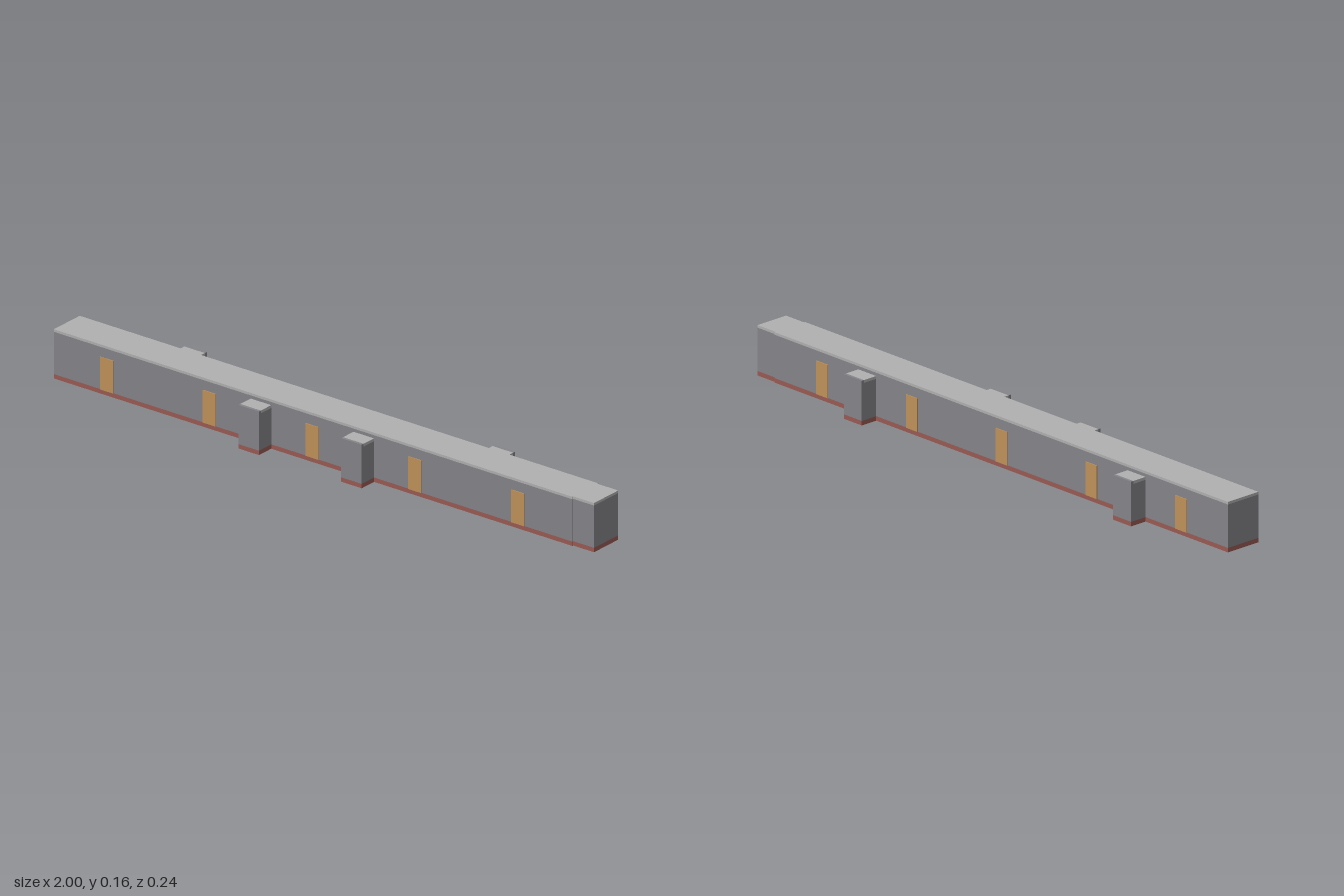
import * as THREE from 'three';

const mat = (name, color) => {
  const m = new THREE.MeshStandardMaterial({ color });
  m.name = name;
  return m;
};

export function createModel() {
  const wall = mat('wall grey', 0x858489);
  const roof = mat('roof light grey', 0xb0b0b0);
  const floor = mat('floor red brown', 0x9a5a53);
  const door = mat('door ochre', 0xc0925a);

  const model = new THREE.Group();
  model.name = 'corridor';

  // Box given by its minimum and maximum on each axis
  const box = (parent, name, material, [x0, x1], [y0, y1], [z0, z1]) => {
    const mesh = new THREE.Mesh(new THREE.BoxGeometry(x1 - x0, y1 - y0, z1 - z0), material);
    mesh.position.set((x0 + x1) / 2, (y0 + y1) / 2, (z0 + z1) / 2);
    mesh.name = name;
    parent.add(mesh);
  };

  const HALF = 0.061, FLOOR = 0.014;

  // Long hall, then a slightly narrower end section
  const sections = [['hall', -1, 0.923, HALF], ['endSection', 0.923, 1, 0.057]];
  for (const [name, x0, x1, h] of sections) {
    const section = new THREE.Group();
    section.name = name;
    box(section, 'floor', floor, [x0, x1], [0, FLOOR], [-h, h]);
    box(section, 'walls', wall, [x0, x1], [FLOOR, 0.149], [-h, h]);
    box(section, 'roof', roof, [x0, x1], [0.149, 0.157], [-h, h]);
    model.add(section);
  }

  // Evenly spaced doors, facing each other on both sides
  const STEP = 0.381, FIRST = -0.803;
  for (let i = 0; i < 5; i++) {
    const x = FIRST + i * STEP;
    for (const s of [1, -1]) {
      const zs = [s * HALF, s * (HALF + 0.0025)].sort((a, b) => a - b);
      box(model, 'door', door, [x - 0.024, x + 0.024], [FLOOR, 0.118], zs);
    }
  }

  // Side alcoves midway between doors: outer ones at the back, inner ones at the front
  [-1, 1, 1, -1].forEach((side, i) => {
    const x = FIRST + (i + 0.5) * STEP;
    const xs = [x - 0.038, x + 0.038];
    const span = (a, b) => (side > 0 ? [a, b] : [-b, -a]);
    const alcove = new THREE.Group();
    alcove.name = 'alcove';
    box(alcove, 'alcoveFloor', floor, xs, [0, FLOOR], span(HALF, 0.119));
    box(alcove, 'alcoveSides', wall, xs, [FLOOR, 0.13], span(HALF, 0.11));
    box(alcove, 'alcoveEndWall', wall, xs, [FLOOR, 0.139], span(0.11, 0.119));
    box(alcove, 'alcoveRoof', roof, xs, [0.13, 0.139], span(HALF, 0.11));
    model.add(alcove);
  });

  return model;
}
